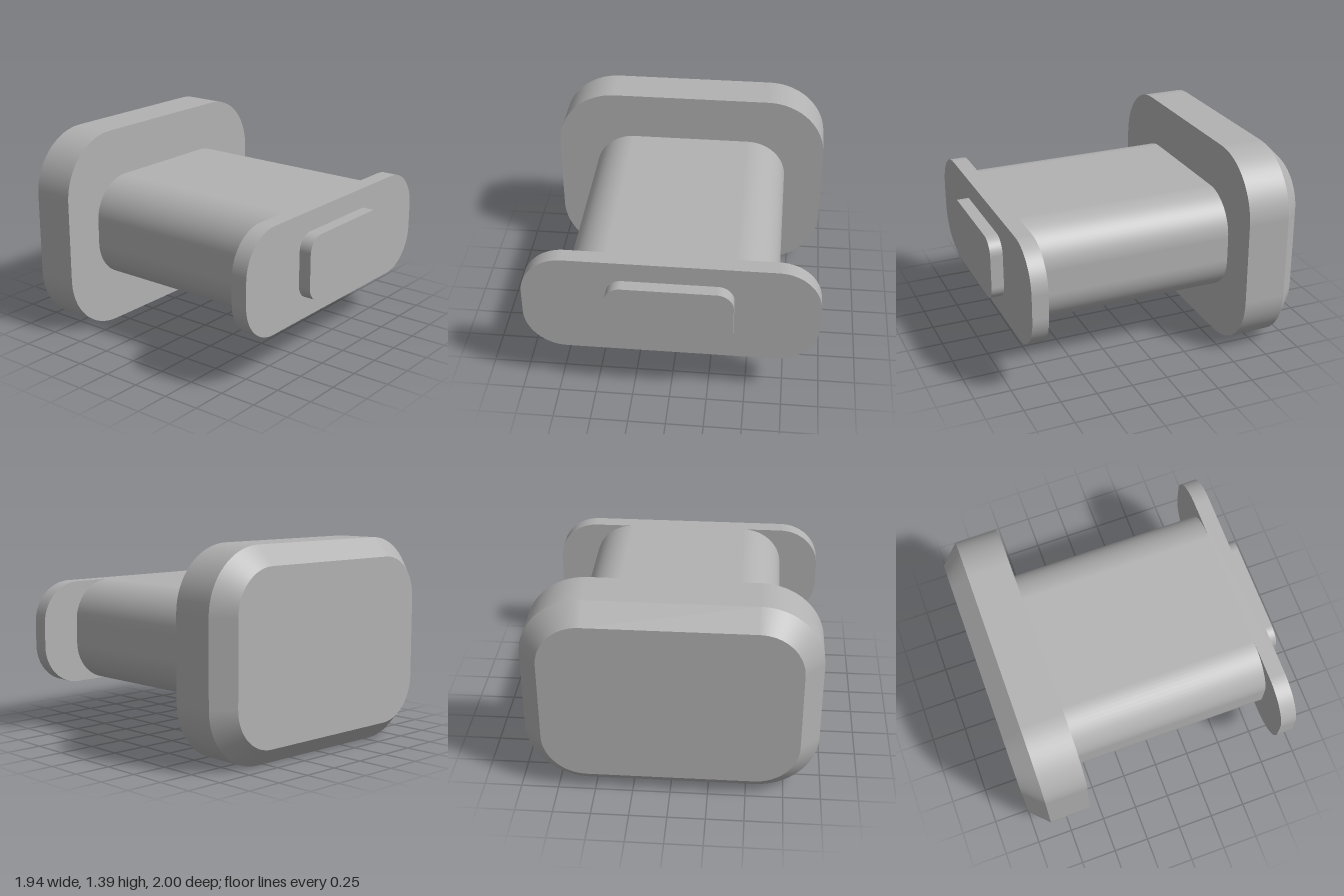
import * as THREE from 'three';

const CENTER_Y = 0.696;
const ARC_STEPS = 16;

// Rounded-rectangle ring, counter-clockwise seen from +z: points with outward normals
function ring({ w, h, r, z }) {
  const points = [];
  [[1, 1], [-1, 1], [-1, -1], [1, -1]].forEach(([sx, sy], corner) => {
    for (let i = 0; i <= ARC_STEPS; i++) {
      const angle = (corner + i / ARC_STEPS) * Math.PI / 2;
      const nx = Math.cos(angle), ny = Math.sin(angle);
      points.push({ x: sx * (w / 2 - r) + r * nx, y: sy * (h / 2 - r) + r * ny, z, nx, ny });
    }
  });
  return points;
}

// Solid through rounded-rectangle sections listed from back to front, with sharp rims
function loft(sections) {
  const position = [], normal = [], index = [];
  const add = (x, y, z, nx, ny, nz) => {
    position.push(x, y, z);
    normal.push(nx, ny, nz);
    return position.length / 3 - 1;
  };
  const rings = sections.map(ring);

  // Side bands, smooth around the corners
  for (let k = 0; k + 1 < rings.length; k++) {
    const a = sections[k], b = sections[k + 1];
    const slope = new THREE.Vector2(b.z - a.z, (a.w - b.w) / 2).normalize();
    const start = position.length / 3, count = rings[k].length;
    for (const points of [rings[k], rings[k + 1]]) {
      for (const p of points) add(p.x, p.y, p.z, p.nx * slope.x, p.ny * slope.x, slope.y);
    }
    for (let i = 0; i < count; i++) {
      const j = (i + 1) % count;
      const a0 = start + i, a1 = start + j, b0 = a0 + count, b1 = a1 + count;
      index.push(a0, a1, b1, a0, b1, b0);
    }
  }

  // Flat end caps
  for (const [points, dir] of [[rings[0], -1], [rings[rings.length - 1], 1]]) {
    const middle = add(0, 0, points[0].z, 0, 0, dir);
    const rim = points.map((p) => add(p.x, p.y, p.z, 0, 0, dir));
    rim.forEach((v, i) => {
      const next = rim[(i + 1) % rim.length];
      if (dir > 0) index.push(middle, v, next);
      else index.push(middle, next, v);
    });
  }

  const geometry = new THREE.BufferGeometry();
  geometry.setAttribute('position', new THREE.Float32BufferAttribute(position, 3));
  geometry.setAttribute('normal', new THREE.Float32BufferAttribute(normal, 3));
  geometry.setIndex(index);
  return geometry;
}

export function createModel() {
  const group = new THREE.Group();
  group.name = 'roundedPlug';
  const grey = new THREE.MeshStandardMaterial({ color: 0xb2b2b2 });
  grey.name = 'grey';

  const part = (name, sections) => {
    const mesh = new THREE.Mesh(loft(sections), grey);
    mesh.name = name;
    mesh.position.y = CENTER_Y;
    group.add(mesh);
  };

  // Large head with a chamfered back rim
  part('head', [
    { w: 1.692, h: 1.142, r: 0.292, z: -1 },
    { w: 1.942, h: 1.392, r: 0.417, z: -0.875 },
    { w: 1.942, h: 1.392, r: 0.417, z: -0.585 },
  ]);

  // Shaft between head and flange
  part('shaft', [
    { w: 1.39, h: 0.722, r: 0.28, z: -0.585 },
    { w: 1.39, h: 0.722, r: 0.28, z: 0.805 },
  ]);

  // Wide flange, as tall as the shaft
  part('flange', [
    { w: 1.942, h: 0.722, r: 0.28, z: 0.805 },
    { w: 1.942, h: 0.722, r: 0.28, z: 0.915 },
  ]);

  // Small raised pad on the front
  part('frontPad', [
    { w: 0.832, h: 0.444, r: 0.11, z: 0.915 },
    { w: 0.832, h: 0.444, r: 0.11, z: 1 },
  ]);

  return group;
}
